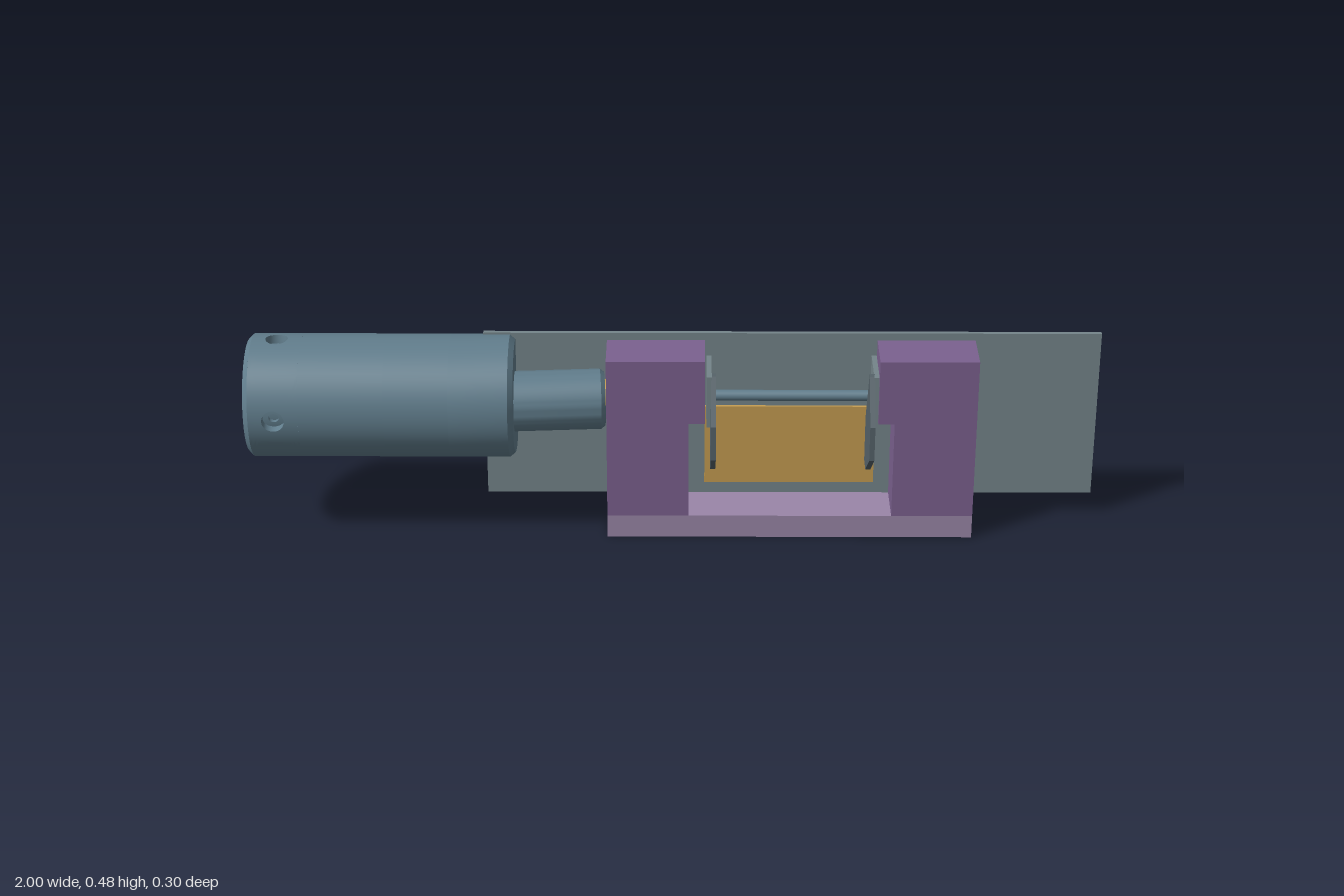
import * as THREE from 'three';
import { toCreasedNormals } from 'three/addons/utils/BufferGeometryUtils.js';
import { ParametricGeometry } from 'three/addons/geometries/ParametricGeometry.js';

const mat = (color) => new THREE.MeshStandardMaterial({ color, side: THREE.DoubleSide });
const steel = mat(0x617d8c), sheet = mat(0x75858a), purple = mat(0x7b618f);
const lilac = mat(0x9a86a8), amber = mat(0xc59d52), dark = mat(0x56636a);

const AXIS_Y = 0.333, AXIS_Z = -0.003, R = 0.145;

function add(parent, name, geometry, material, x = 0, y = 0, z = 0) {
  const mesh = new THREE.Mesh(geometry, material);
  mesh.name = name;
  mesh.position.set(x, y, z);
  parent.add(mesh);
  return mesh;
}

// Box given by its limits
function box(parent, name, material, [x0, x1], [y0, y1], [z0, z1]) {
  return add(parent, name, new THREE.BoxGeometry(x1 - x0, y1 - y0, z1 - z0), material,
    (x0 + x1) / 2, (y0 + y1) / 2, (z0 + z1) / 2);
}

// Outline in x/y extruded from z0 to z1
function slab(points, z0, z1, holes = []) {
  const shape = new THREE.Shape(points.map(([x, y]) => new THREE.Vector2(x, y)));
  holes.forEach((h) => shape.holes.push(new THREE.Path(h.map(([x, y]) => new THREE.Vector2(x, y)))));
  return new THREE.ExtrudeGeometry(shape, { depth: z1 - z0, bevelEnabled: false }).translate(0, 0, z0);
}

const rect = (x0, x1, y0, y1) => [[x0, y0], [x1, y0], [x1, y1], [x0, y1]];

// Turned part along x, profile given as [radius, x]
function turned(profile) {
  const g = new THREE.LatheGeometry(profile.map(([r, x]) => new THREE.Vector2(r, x)), 64);
  return toCreasedNormals(g.rotateZ(-Math.PI / 2), 0.5);
}

// Point on the handle: angle a (0 = front, 90 degrees = top), length x, depth below the skin
function onHandle(x, a, depth, target) {
  const r = R - depth;
  target.set(x, r * Math.sin(a), r * Math.cos(a));
}

// Plain part of the handle skin
function skin(x0, x1, a0, a1) {
  return new ParametricGeometry((u, v, t) =>
    onHandle(x0 + (x1 - x0) * u, a0 + (a1 - a0) * v, 0, t), 1, 48);
}

// Quarter of the skin with a stepped round hole; steps are [radius, depth]
function drilled(parent, name, x0, x1, mid, steps) {
  const group = new THREE.Group();
  group.name = name;
  parent.add(group);
  const cx = (x0 + x1) / 2, hx = (x1 - x0) / 2, ha = Math.PI / 4;
  const surface = (part, fn, stacks) => add(group, part, new ParametricGeometry(fn, 48, stacks), steel);
  const ring = (r, u) => [r * Math.cos(u * 2 * Math.PI) / R, r * Math.sin(u * 2 * Math.PI)];

  surface('skin', (u, v, t) => {
    const [a, x] = ring(steps[0][0], u);
    const c = Math.cos(u * 2 * Math.PI), s = Math.sin(u * 2 * Math.PI);
    const m = Math.max(Math.abs(c), Math.abs(s));
    onHandle(cx + x + (hx * s / m - x) * v, mid + a + (ha * c / m - a) * v, 0, t);
  }, 12);

  let above = 0;
  steps.forEach(([r, depth], i) => {
    const top = above;
    const inner = i + 1 < steps.length ? steps[i + 1][0] : 0.0005;
    surface('holeWall', (u, v, t) => {
      const [a, x] = ring(r, u);
      onHandle(cx + x, mid + a, depth + (top - depth) * v, t);
    }, 1);
    surface('holeFloor', (u, v, t) => {
      const [a, x] = ring(inner + (r - inner) * v, u);
      onHandle(cx + x, mid + a, depth, t);
    }, 2);
    above = depth;
  });
}

function makeHandle() {
  const handle = new THREE.Group();
  handle.name = 'handle';
  handle.position.set(0, AXIS_Y, AXIS_Z);

  // Rear end with its stepped bore
  add(handle, 'rearEnd', turned([[0, -0.75], [0.052, -0.75], [0.052, -0.965], [0.072, -0.965],
    [0.076, -1], [0.133, -1], [R, -0.988]]), steel);

  // Ring of four set-screw holes
  for (let i = 0; i < 4; i++) {
    drilled(handle, 'setScrewHole', -0.988, -0.872, i * Math.PI / 2, [[0.026, 0.02], [0.012, 0.03]]);
  }

  // Middle, with one larger screw at the back
  add(handle, 'middle', skin(-0.872, -0.675, 0, Math.PI * 2), steel);
  add(handle, 'screwBand', skin(-0.675, -0.525, -0.75 * Math.PI, 0.75 * Math.PI), steel);
  drilled(handle, 'backScrew', -0.675, -0.525, Math.PI, [[0.046, 0.012], [0.026, 0.035]]);

  // Front end
  add(handle, 'frontEnd', turned([[R, -0.525], [R, -0.387], [0.134, -0.375], [0, -0.375]]), steel);
  return handle;
}

export function createModel() {
  const model = new THREE.Group();
  model.name = 'model';
  model.add(makeHandle());

  // Slightly tilted rod between handle and block
  const rod = add(model, 'rod', turned([[0, -0.13], [0.071, -0.13], [0.071, 0.1], [0.063, 0.11], [0, 0.11]]),
    steel, -0.275, AXIS_Y, 0.022);
  rod.rotation.y = 0.07;
  add(model, 'rodTip', new THREE.CylinderGeometry(0.045, 0.045, 0.012, 32).rotateZ(Math.PI / 2),
    amber, -0.162, AXIS_Y, 0.013);

  // Long thin plate with a window
  add(model, 'plate', slab(rect(-0.45, 1, 0.057, 0.478), -0.05, -0.039,
    [rect(0.11, 0.44, 0.12, 0.26)]), sheet);
  box(model, 'windowFilm', amber, [0.07, 0.475], [0.088, 0.29], [-0.042, -0.032]);

  // Block: base and two towers, undercut on their inner sides
  box(model, 'base', lilac, [-0.16, 0.705], [0, 0.057], [-0.083, 0.081]);
  for (const [outer, dir] of [[-0.16, 1], [0.705, -1]]) {
    const outline = [[0, 0.057], [0.192, 0.057], [0.192, 0.3], [0.23, 0.3], [0.23, 0.46], [0, 0.46]]
      .map(([x, y]) => [outer + dir * x, y]);
    add(model, 'tower', slab(outline, -0.083, 0.081), purple);
  }

  // Clamp: side brackets, swinging arms and the bar joining them
  const arm = [[-0.085, 0.425], [-0.15, 0.325], [-0.15, 0.24], [-0.03, 0.155], [0.02, 0.155],
    [0.02, 0.27], [-0.07, 0.425]];
  for (const side of [-1, 1]) {
    const mid = 0.2735;
    const a = mid + side * 0.2, b = mid + side * 0.188;
    box(model, 'bracket', sheet, [Math.min(a, b), Math.max(a, b)], [0.295, 0.425], [-0.03, 0.09]);
    add(model, 'arm', slab(arm, -0.006, 0.006).rotateY(Math.PI / 2), dark, mid + side * 0.184, 0, 0);
  }
  add(model, 'bar', new THREE.CylinderGeometry(0.013, 0.013, 0.376, 24).rotateZ(Math.PI / 2),
    steel, 0.2735, AXIS_Y, -0.005);

  return model;
}
